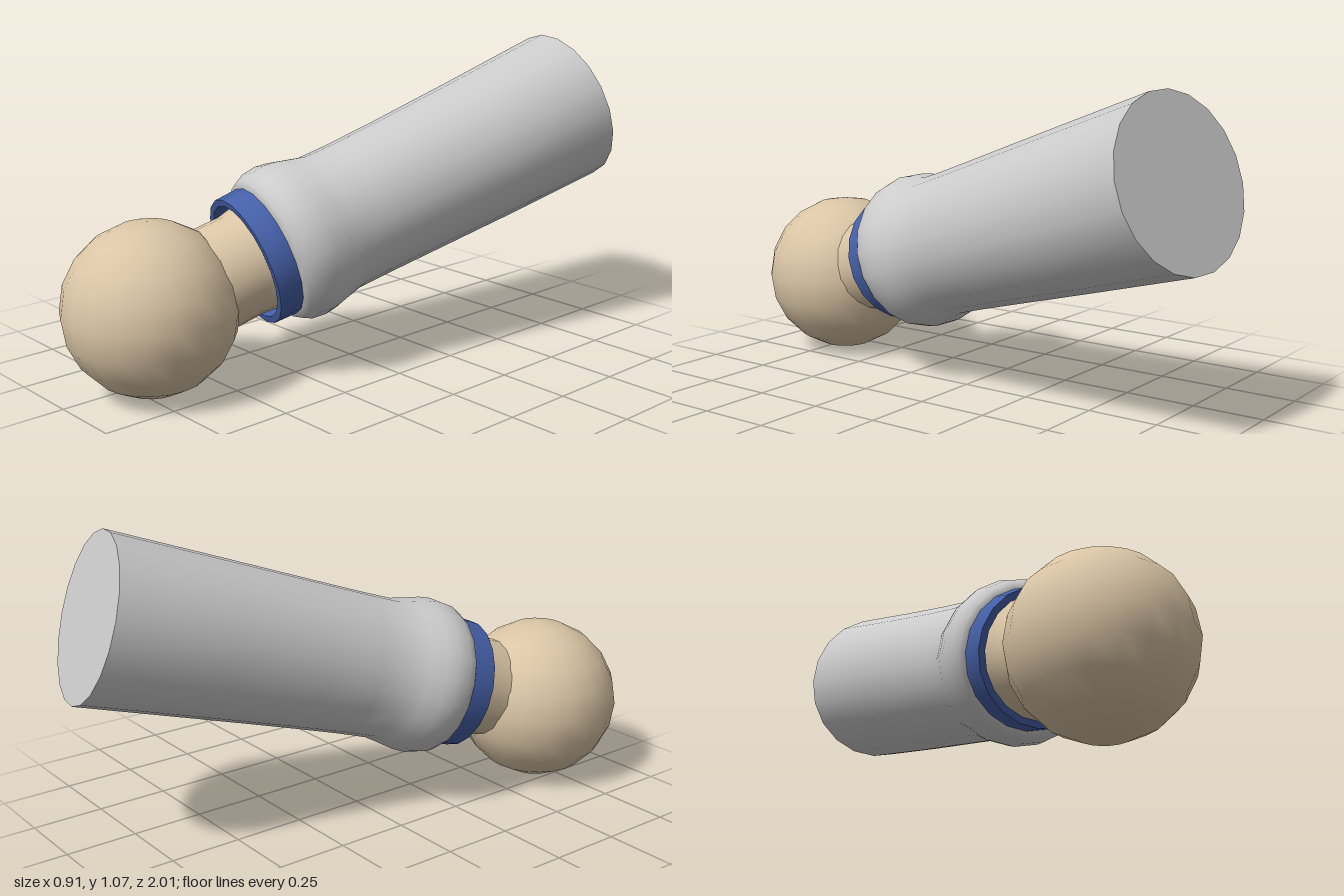
import * as THREE from 'three';
import { toCreasedNormals } from 'three/addons/utils/BufferGeometryUtils.js';

const HAND = new THREE.Vector3(-0.17, 0.292, 0.71);
const AXIS = new THREE.Vector3(0.35, 0.515, -1.615).normalize();
const SIDES = 20;

const material = (color) => new THREE.MeshStandardMaterial({ color, side: THREE.DoubleSide });

// Turned part along the arm axis: profile of [radius, distance from hand, sideways shift, x squash]
function armPart(name, profile, mat) {
  const geo = new THREE.LatheGeometry(profile.map(([r, s]) => new THREE.Vector2(r, s)), SIDES);
  const pos = geo.attributes.position;
  const turn = new THREE.Quaternion().setFromUnitVectors(new THREE.Vector3(0, 1, 0), AXIS);
  const v = new THREE.Vector3();
  for (let i = 0; i < pos.count; i++) {
    const [, s, shift = 0, squash = 1] = profile[i % profile.length];
    v.fromBufferAttribute(pos, i).applyQuaternion(turn);
    const centreX = AXIS.x * s;
    v.x = centreX + (v.x - centreX) * squash + shift;
    v.add(HAND);
    pos.setXYZ(i, v.x, v.y, v.z);
  }
  geo.computeVertexNormals();
  const mesh = new THREE.Mesh(toCreasedNormals(geo, 0.75), mat);
  mesh.name = name;
  return mesh;
}

export function createModel() {
  const group = new THREE.Group();
  group.name = 'arm';
  const skin = material(0xdac5a5);
  const blue = material(0x4560a8);
  const grey = material(0xcccccc);

  // Ball hand
  const hand = new THREE.Mesh(new THREE.SphereGeometry(0.29, SIDES, 10), skin);
  hand.name = 'hand';
  hand.position.copy(HAND);
  group.add(hand);

  // Wrist, flaring slightly where it enters the cuff
  group.add(armPart('wrist', [
    [0.165, 0.14, 0.012], [0.176, 0.23, 0.012], [0.175, 0.33, 0.01], [0.183, 0.38, 0.006], [0.2, 0.42, 0.004],
  ], skin));

  // Hollow cuff band
  group.add(armPart('cuff', [
    [0.203, 0.45], [0.203, 0.352], [0.226, 0.352], [0.232, 0.46],
  ], blue));

  // Sleeve: rounded hem, bulge, narrow neck, then widening to the closed shoulder end
  group.add(armPart('sleeve', [
    [0.195, 0.435], [0.232, 0.434], [0.252, 0.446, 0.003], [0.268, 0.475, 0.006], [0.275, 0.525, 0.008],
    [0.271, 0.565, 0.01, 0.99], [0.258, 0.62, 0.013, 0.98], [0.246, 0.675, 0.017, 0.96],
    [0.247, 0.78, 0.02, 0.95], [0.253, 0.98, 0.02, 0.95], [0.264, 1.3, 0.015, 0.97],
    [0.278, 1.732, 0, 1], [0, 1.732],
  ], grey));

  return group;
}
